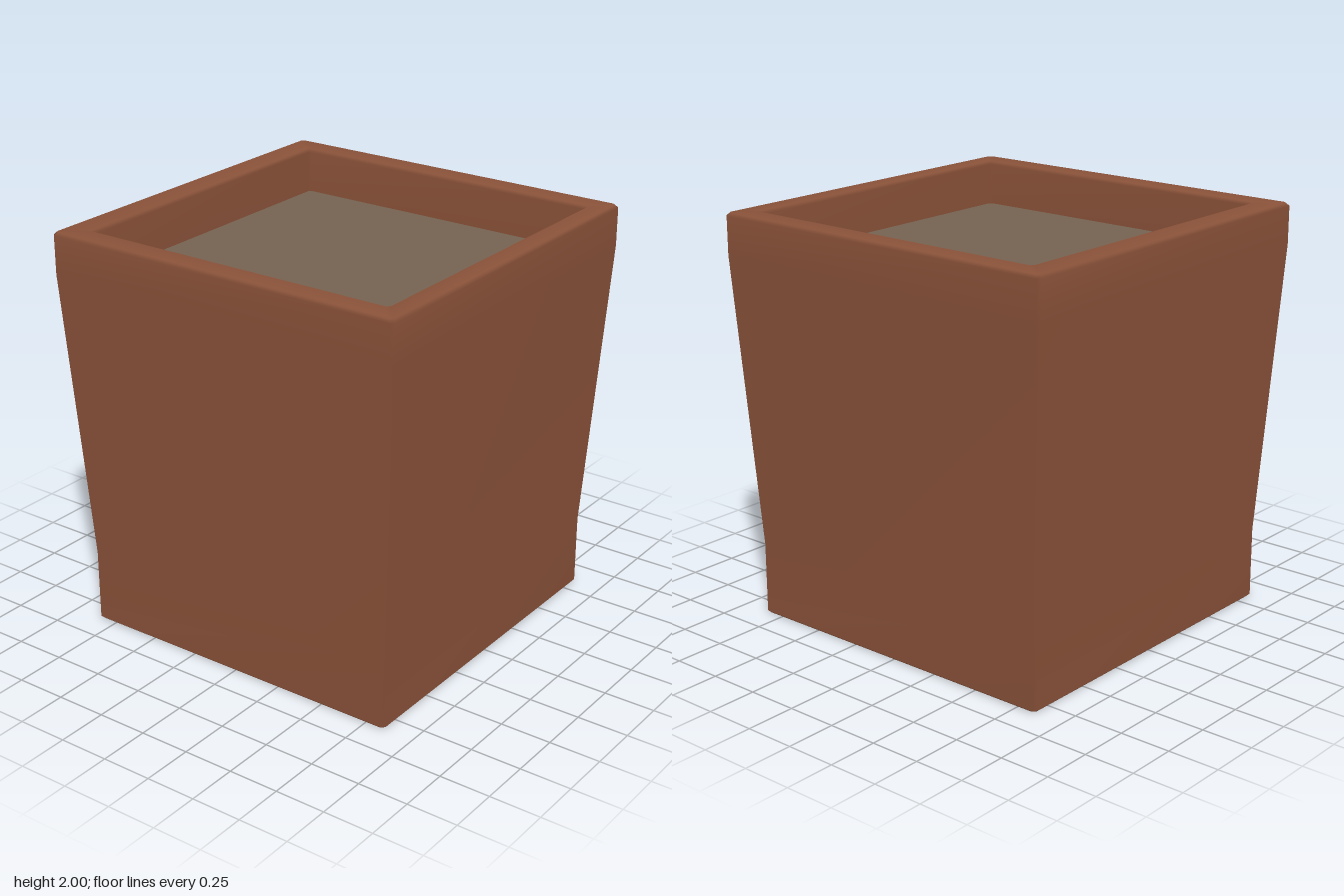
import * as THREE from 'three';

// Square cross-section with small chamfered corners, counter-clockwise from above
function squareRing(half, y, zShift, bevel) {
  const inner = half - Math.min(bevel, half);
  const points = [];
  for (const [sx, sz] of [[1, -1], [-1, -1], [-1, 1], [1, 1]]) {
    const pair = [
      [sx * half, y, sz * inner + zShift],
      [sx * inner, y, sz * half + zShift],
    ];
    if (sx * sz > 0) pair.reverse();
    points.push(...pair);
  }
  return points;
}

// Skin a stack of square rings with smooth shared normals
function loftSquares(profile, bevel) {
  const rings = profile.map(([half, y, zShift = 0]) => squareRing(half, y, zShift, bevel));
  const n = rings[0].length;
  const index = [];
  for (let i = 0; i < rings.length - 1; i++) {
    for (let j = 0; j < n; j++) {
      const k = (j + 1) % n;
      const a = i * n + j, b = i * n + k, c = (i + 1) * n + k, d = (i + 1) * n + j;
      index.push(a, b, c, a, c, d);
    }
  }
  const geometry = new THREE.BufferGeometry();
  geometry.setAttribute('position', new THREE.Float32BufferAttribute(rings.flat(2), 3));
  geometry.setIndex(index);
  geometry.computeVertexNormals();
  return geometry;
}

export function createModel() {
  const group = new THREE.Group();
  group.name = 'planter';

  const terracotta = new THREE.MeshStandardMaterial({ color: 0x8a5239 });
  terracotta.name = 'terracotta';
  const earth = new THREE.MeshStandardMaterial({ color: 0x756350 });
  earth.name = 'earth';

  // Pot: [half width, height, z shift] from the base, up the outside, over the rim and down inside
  const pot = new THREE.Mesh(loftSquares([
    [0, 0],
    [0.843, 0],
    [0.855, 0.012],
    [0.855, 0.36],
    [0.935, 1.8],
    [0.935, 1.985],
    [0.922, 2],
    [0.82, 2, 0.015],
    [0.806, 1.985, 0.015],
    [0.806, 1.7, 0.015],
  ], 0.015), terracotta);
  pot.name = 'pot';
  group.add(pot);

  // Soil filling the pot to just below the rim
  const soil = new THREE.Mesh(new THREE.BoxGeometry(1.61, 0.06, 1.61), earth);
  soil.name = 'soil';
  soil.position.set(0, 1.75, 0.015);
  group.add(soil);

  return group;
}
